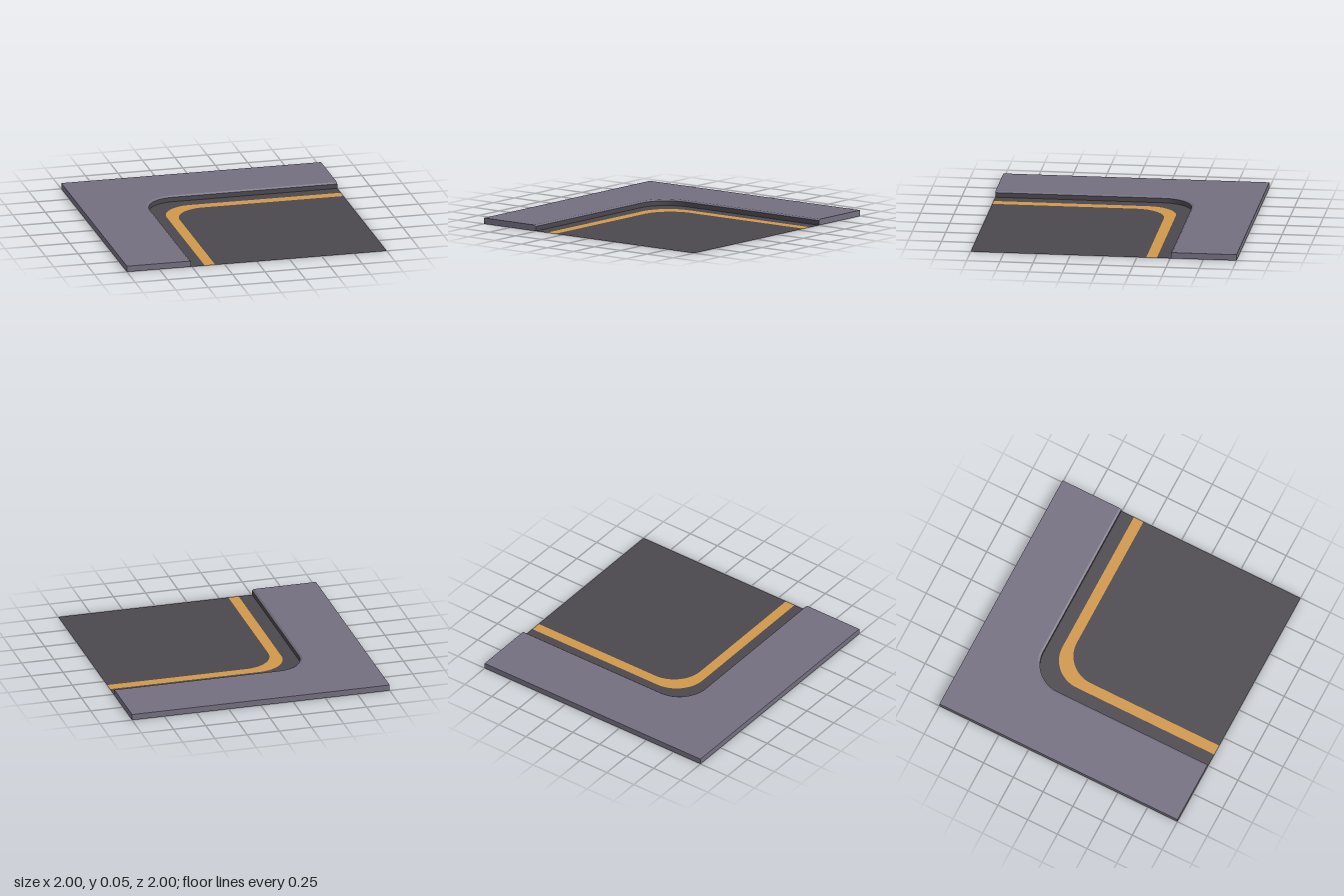
import * as THREE from 'three';

const STEPS = 24;   // segments in the rounded corner
const RADIUS = 0.24;
const TOP = 0.045, BEVEL = 0.035;
const OUTER = -1, LIP = -0.52, WALL = -0.505;

// L-shaped path: up from the front edge, round the corner, out to the right edge
function cornerPath(offset, y, radius = RADIUS) {
  const points = [new THREE.Vector3(offset, y, 1)];
  const centre = offset + radius;
  for (let i = 0; i <= STEPS; i++) {
    const a = (i / STEPS) * Math.PI / 2;
    points.push(new THREE.Vector3(centre - radius * Math.cos(a), y, centre - radius * Math.sin(a)));
  }
  points.push(new THREE.Vector3(1, y, offset));
  return points;
}

// Surface stretched between two paths
function ribbon(a, b) {
  const index = [];
  for (let i = 0; i < a.length - 1; i++) {
    const p = 2 * i;
    index.push(p, p + 1, p + 2, p + 1, p + 3, p + 2);
  }
  const geometry = new THREE.BufferGeometry().setFromPoints(a.flatMap((v, i) => [v, b[i]]));
  geometry.setIndex(index);
  geometry.computeVertexNormals();
  return geometry;
}

export function createModel() {
  const pavement = new THREE.MeshStandardMaterial({ color: 0x746f80 });
  const asphalt = new THREE.MeshStandardMaterial({ color: 0x4b484e, side: THREE.DoubleSide });
  const paint = new THREE.MeshStandardMaterial({ color: 0xd0974a, side: THREE.DoubleSide });
  pavement.name = 'pavement';
  asphalt.name = 'asphalt';
  paint.name = 'linePaint';

  const group = new THREE.Group();
  group.name = 'roadCorner';
  const add = (name, geometry, material) => {
    const mesh = new THREE.Mesh(geometry, material);
    mesh.name = name;
    group.add(mesh);
  };

  // Raised pavement
  const outerTop = cornerPath(OUTER, TOP, 0), outerBase = cornerPath(OUTER, 0, 0);
  const lip = cornerPath(LIP, TOP), bevel = cornerPath(WALL, BEVEL), wallBase = cornerPath(WALL, 0);
  add('pavementTop', ribbon(outerTop, lip), pavement);
  add('pavementSide', ribbon(outerBase, outerTop), pavement);
  add('pavementBase', ribbon(wallBase, outerBase), pavement);
  add('kerbBevel', ribbon(lip, bevel), pavement);
  add('kerbWall', ribbon(bevel, wallBase), asphalt);

  // Pavement ends on the front and left edges of the tile
  const section = [[OUTER, 0], [WALL, 0], [WALL, BEVEL], [LIP, TOP], [OUTER, TOP]];
  const endCap = (flip) => new THREE.ShapeGeometry(
    new THREE.Shape(section.map(([x, y]) => new THREE.Vector2(x * flip, y))));
  add('frontPavementEnd', endCap(1).translate(0, 0, 1), pavement);
  add('leftPavementEnd', endCap(-1).rotateY(Math.PI / 2).translate(1, 0, 0), pavement);

  // Flat road with its painted line
  const lineOuter = cornerPath(-0.4, 0), lineInner = cornerPath(-0.32, 0);
  add('roadEdge', ribbon(wallBase, lineOuter), asphalt);
  add('roadLine', ribbon(lineOuter, lineInner), paint);
  add('roadSurface', ribbon(lineInner, cornerPath(1, 0, 0)), asphalt);

  return group;
}
